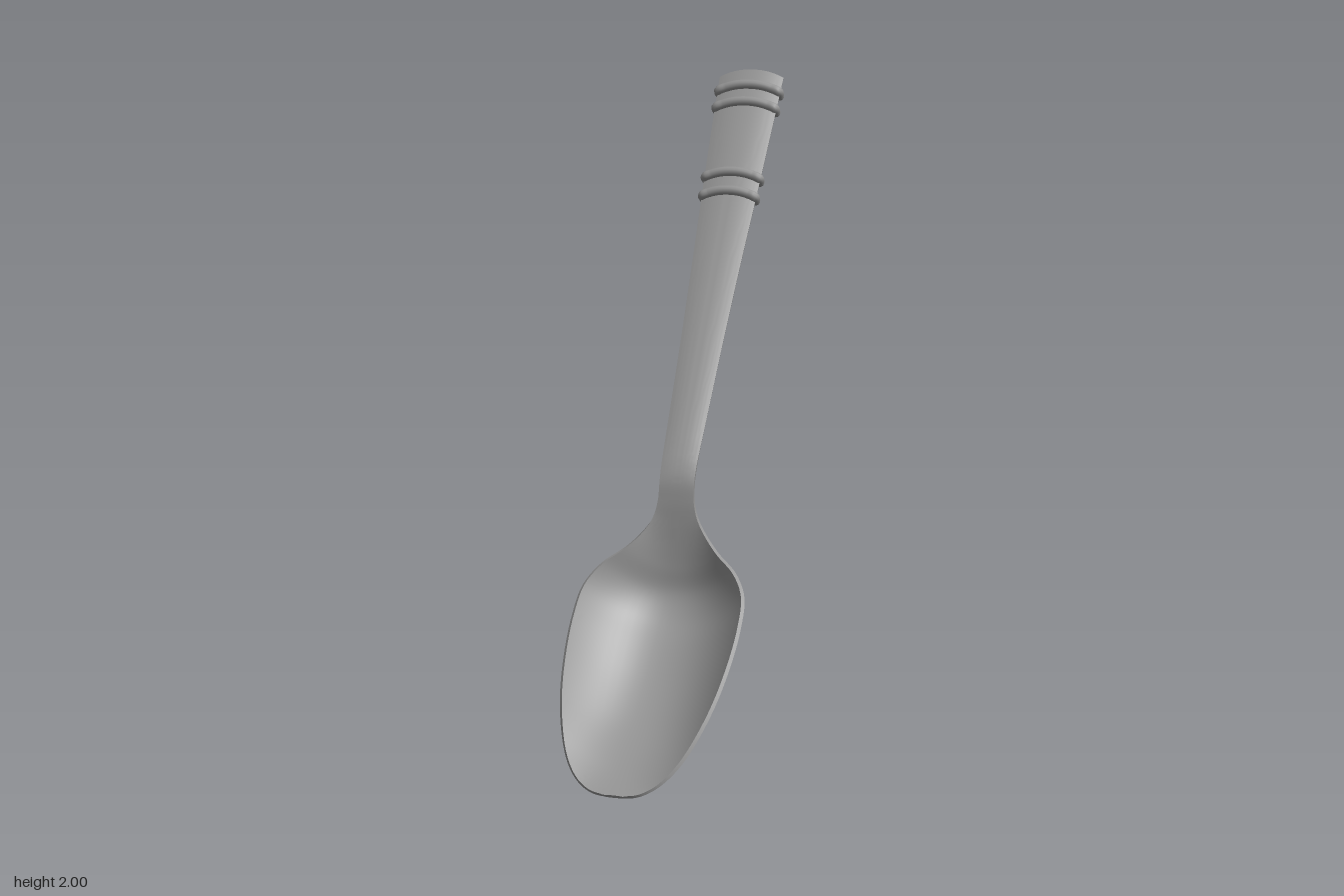
import * as THREE from 'three';
import { toCreasedNormals } from 'three/addons/utils/BufferGeometryUtils.js';

const V = (x, y, z) => new THREE.Vector3(x, y, z);

// Stations from bowl tip to handle end: half width, rim y, rim z, centre y, centre z, thickness
const stations = [
  [0.030, 0.006, 0.714, 0.006, 0.714, 0.010],
  [0.070, 0.012, 0.708, 0.010, 0.706, 0.010],
  [0.110, 0.029, 0.691, 0.021, 0.680, 0.010],
  [0.147, 0.059, 0.663, 0.040, 0.638, 0.011],
  [0.184, 0.108, 0.615, 0.075, 0.573, 0.012],
  [0.228, 0.210, 0.520, 0.141, 0.450, 0.012],
  [0.252, 0.315, 0.420, 0.225, 0.333, 0.012],
  [0.260, 0.420, 0.320, 0.316, 0.234, 0.012],
  [0.250, 0.495, 0.250, 0.388, 0.163, 0.012],
  [0.210, 0.550, 0.200, 0.455, 0.127, 0.012],
  [0.145, 0.597, 0.160, 0.530, 0.121, 0.012],
  [0.098, 0.645, 0.132, 0.600, 0.118, 0.012],
  [0.070, 0.690, 0.118, 0.675, 0.115, 0.013],
  [0.057, 0.738, 0.111, 0.738, 0.111, 0.014],
  [0.054, 0.791, 0.101, 0.798, 0.101, 0.016],
  [0.054, 0.836, 0.080, 0.846, 0.080, 0.018],
  [0.055, 0.883, 0.050, 0.895, 0.050, 0.018],
  [0.057, 0.946, 0.006, 0.960, 0.006, 0.018],
  [0.066, 1.186, -0.160, 1.202, -0.160, 0.018],
  [0.077, 1.414, -0.318, 1.432, -0.318, 0.018],
  [0.088, 1.610, -0.456, 1.631, -0.456, 0.018],
  [0.097, 1.786, -0.580, 1.809, -0.580, 0.018],
  [0.105, 1.968, -0.711, 1.993, -0.711, 0.018],
];
const rim = new THREE.CatmullRomCurve3(stations.map(s => V(s[0], s[1], s[2])));
const spine = new THREE.CatmullRomCurve3(stations.map(s => V(s[5], s[3], s[4])));

// Middle surface: t runs along the spoon, u runs across it from -1 to 1
function surface(t, u) {
  const r = rim.getPoint(t), c = spine.getPoint(t);
  const k = 1 - Math.pow(Math.abs(u), 2.2);
  return V(u * r.x, r.y + (c.y - r.y) * k, r.z + (c.z - r.z) * k);
}

function normal(t, u) {
  const e = 0.002;
  const a = surface(Math.min(1, t + e), u).sub(surface(Math.max(0, t - e), u));
  const b = surface(t, Math.min(1, u + e)).sub(surface(t, Math.max(-1, u - e)));
  return b.cross(a).normalize();
}

// Closed shell: each cross-section is a loop over the front and back skins
function spoonBody() {
  const rows = 132, cols = 28, pos = [], idx = [], ring = 2 * (cols + 1);
  for (let i = 0; i <= rows; i++) {
    const t = i / rows, half = spine.getPoint(t).x / 2;
    for (let k = 0; k < ring; k++) {
      const front = k <= cols, j = front ? k : ring - 1 - k;
      const u = Math.sin((j / cols - 0.5) * Math.PI);
      const p = surface(t, u).addScaledVector(normal(t, u), front ? half : -half);
      pos.push(p.x, p.y, p.z);
    }
  }
  for (let i = 0; i < rows; i++) {
    for (let k = 0; k < ring; k++) {
      const a = i * ring + k, b = i * ring + (k + 1) % ring;
      idx.push(a, b, b + ring, a, b + ring, a + ring);
    }
  }
  // End walls at the tip and the handle end
  for (let j = 0; j < cols; j++) {
    const a = j, b = j + 1, c = ring - 2 - j, d = ring - 1 - j, o = rows * ring;
    idx.push(a, d, c, a, c, b, o + a, o + b, o + c, o + a, o + c, o + d);
  }
  const g = new THREE.BufferGeometry();
  g.setAttribute('position', new THREE.Float32BufferAttribute(pos, 3));
  g.setIndex(idx);
  return toCreasedNormals(g, 0.8);
}

// Parameter t at which the handle reaches a given z
function handleAt(z) {
  let lo = 0.6, hi = 1;
  for (let i = 0; i < 30; i++) {
    const m = (lo + hi) / 2;
    if (spine.getPoint(m).z > z) lo = m; else hi = m;
  }
  return lo;
}

// Raised round band over the front, its ends curling around the handle edges
function band(z, material) {
  const t = handleAt(z), r = 0.0155, pts = [], group = new THREE.Group();
  const w = rim.getPoint(t).x;
  const end = s => {
    const p = surface(t, s).addScaledVector(normal(t, s), -0.009);
    p.x = s * (w - 0.003);
    return p;
  };
  pts.push(end(-1));
  for (let i = -4; i <= 4; i++) {
    const u = i * 0.235;
    pts.push(surface(t, u).addScaledVector(normal(t, u), 0.012));
  }
  pts.push(end(1));
  const path = new THREE.CatmullRomCurve3(pts);
  group.add(new THREE.Mesh(new THREE.TubeGeometry(path, 48, r, 12), material));
  for (const p of [pts[0], pts[pts.length - 1]]) {
    const cap = new THREE.Mesh(new THREE.SphereGeometry(r, 12, 8), material);
    cap.position.copy(p);
    group.add(cap);
  }
  group.children.forEach((m, i) => { m.name = i ? 'bandEnd' : 'bandTube'; });
  return group;
}

export function createModel() {
  const material = new THREE.MeshStandardMaterial({ color: 0x949494 });
  const model = new THREE.Group();
  model.name = 'spoon';
  const body = new THREE.Mesh(spoonBody(), material);
  body.name = 'bowlAndHandle';
  model.add(body);
  [-0.451, -0.490, -0.640, -0.677].forEach((z, i) => {
    const b = band(z, material);
    b.name = 'handleBand' + (i + 1);
    model.add(b);
  });
  return model;
}
